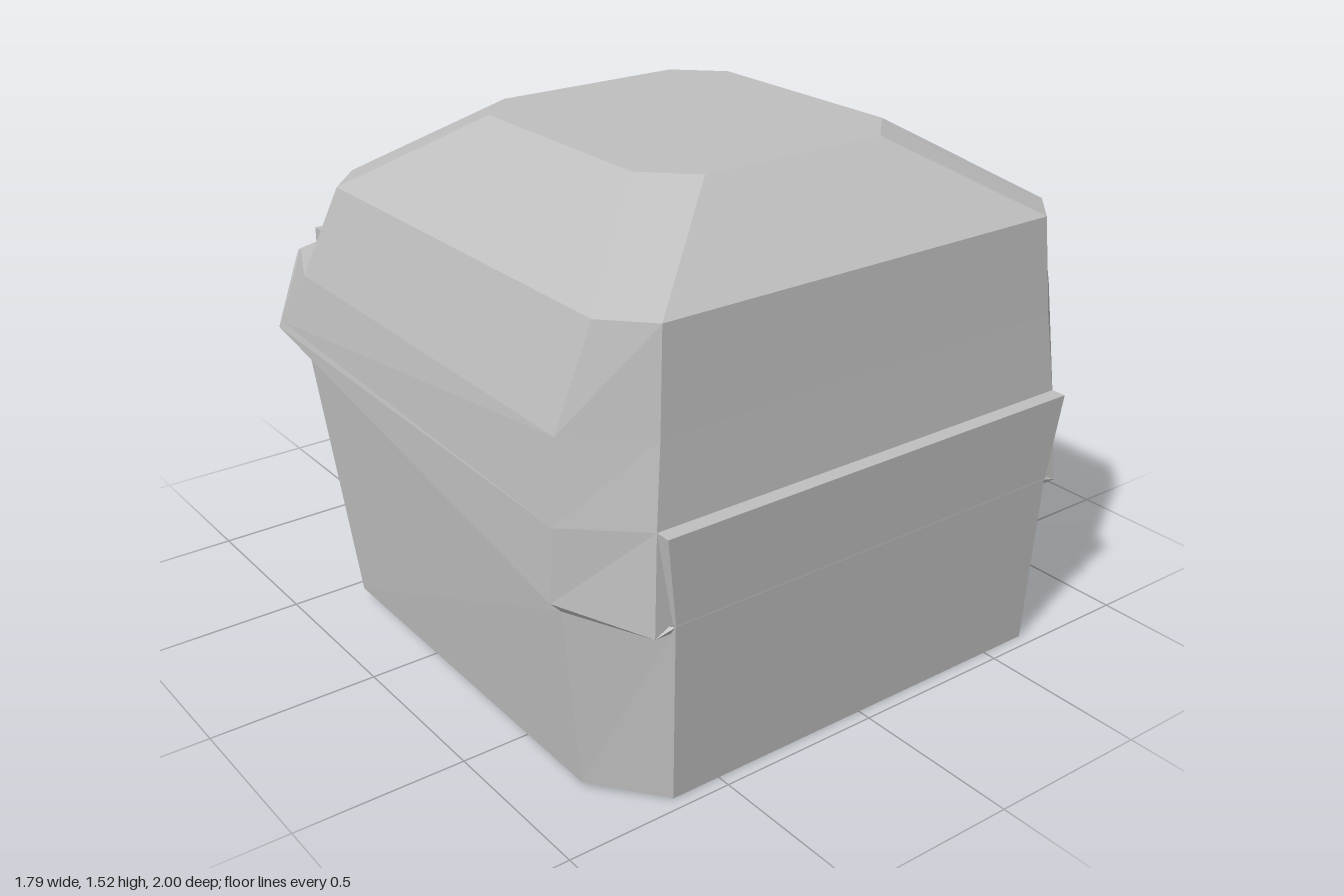
import * as THREE from 'three';
import { ConvexGeometry } from 'three/addons/geometries/ConvexGeometry.js';

const grey = new THREE.MeshStandardMaterial({ color: 0xbebebe, flatShading: true, side: THREE.DoubleSide });
grey.name = 'plain grey';

// Eight-sided ring from its four +x corners: front inner, front side, back side, back inner
const ring = (half) => [...half, ...half.map(([x, y, z]) => [-x, y, z]).reverse()];

// The same corners moved inward by the wall thickness
const inset = (half, dy = 0, t = 0.045) =>
  half.map(([x, y, z]) => [x - t, y + dy, z - Math.sign(z) * t]);

// Skin a list of rings; capStart / capEnd close the first and last ring
function loft(halves, capStart, capEnd) {
  const rings = halves.map(ring);
  const pos = [];
  const tri = (...p) => p.forEach((v) => pos.push(...v));
  for (let r = 0; r < rings.length - 1; r++) {
    const a = rings[r], b = rings[r + 1];
    for (let i = 0; i < 8; i++) {
      const j = (i + 1) % 8;
      tri(a[i], a[j], b[j]);
      tri(a[i], b[j], b[i]);
    }
  }
  const cap = (c, flip) => {
    for (let i = 1; i < 7; i++) flip ? tri(c[0], c[i + 1], c[i]) : tri(c[0], c[i], c[i + 1]);
  };
  if (capStart) cap(rings[0], true);
  if (capEnd) cap(rings[rings.length - 1], false);
  const g = new THREE.BufferGeometry();
  g.setAttribute('position', new THREE.Float32BufferAttribute(pos, 3));
  g.computeVertexNormals();
  return g;
}

// Convex block from +x corners, mirrored to both sides
const block = (pts) => new ConvexGeometry(
  pts.flatMap(([x, y, z]) => [new THREE.Vector3(x, y, z), new THREE.Vector3(-x, y, z)]));

export function createModel() {
  const model = new THREE.Group();
  const add = (name, geometry) => {
    const m = new THREE.Mesh(geometry, grey);
    m.name = name;
    model.add(m);
    return m;
  };
  const box = (name, x0, x1, y0, y1, z0, z1) => {
    const m = add(name, new THREE.BoxGeometry(x1 - x0, y1 - y0, z1 - z0));
    m.position.set((x0 + x1) / 2, (y0 + y1) / 2, (z0 + z1) / 2);
    return m;
  };

  // Cross-sections, from the open bottom to the flat top
  const bottom = [[0.65, 0, 0.96], [0.815, 0.02, 0.785], [0.82, 0.045, -0.39], [0.6, 0.21, -0.82]];
  const seam = [[0.665, 0.53, 0.985], [0.865, 0.55, 0.785], [0.87, 0.785, -0.53], [0.61, 0.97, -0.88]];
  const lip = [[0.72, 0.51, 0.975], [0.895, 0.58, 0.78], [0.895, 0.84, -0.68], [0.72, 0.99, -0.885]];
  const waist = [[0.7, 0.79, 0.955], [0.888, 0.79, 0.785], [0.89, 0.86, -0.67], [0.718, 1.0, -0.87]];
  const chest = [[0.675, 1.02, 0.935], [0.865, 1.02, 0.77], [0.86, 1.035, -0.55], [0.69, 1.07, -0.73]];
  const shoulder = [[0.655, 1.305, 0.915], [0.77, 1.305, 0.795], [0.77, 1.305, -0.48], [0.655, 1.305, -0.605]];
  const top = [[0.3, 1.525, 0.62], [0.43, 1.525, 0.49], [0.43, 1.525, -0.19], [0.3, 1.525, -0.315]];

  // Hollow shells: inner wall downward, then outer wall upward
  add('lowerShell', loft([inset(seam), inset(bottom), bottom, seam]));
  add('lid', loft([seam, lip, waist, chest, shoulder, top], false, true));
  add('lidLining', loft([inset(top, -0.04), inset(shoulder, -0.02), inset(chest), inset(seam)], true));

  // Raised band across the front
  add('frontBand', block([
    [0.665, 0.535, 0.987], [0.7, 0.79, 1.0], [0.7, 0.79, 0.95], [0.665, 0.535, 0.95],
  ]));

  // Slanted back wall and the framed panel on it
  add('backBulge', block([
    [0.6, 0.21, -0.815], [0.6, 0.52, -0.925], [0.6, 0.97, -0.925], [0.6, 0.97, -0.86],
  ]));
  box('backPanel', -0.55, 0.55, 0.6, 0.95, -0.945, -0.9);
  box('frameTop', -0.6, 0.6, 0.95, 1.0, -0.975, -0.885);
  box('frameBottom', -0.6, 0.6, 0.53, 0.59, -0.96, -0.88);
  for (const s of [-1, 1]) {
    const side = (name, a, b, ...rest) => box(name, Math.min(s * a, s * b), Math.max(s * a, s * b), ...rest);
    side('framePost', 0.575, 0.615, 0.525, 1.02, -0.972, -0.9);
    side('upperClip', 0.51, 0.62, 0.865, 0.915, -1.0, -0.93);
    side('lowerClip', 0.51, 0.62, 0.575, 0.63, -1.0, -0.93);

    // Small block on each rear corner face
    const tab = add('cornerTab', new THREE.BoxGeometry(0.175, 0.085, 0.03));
    tab.position.set(s * 0.728, 0.79, -0.735);
    tab.rotation.set(0, -s * 0.927, -s * 0.3);
  }
  box('panelStrip', 0.41, 0.5, 0.62, 0.93, -0.953, -0.94);

  // Narrow ridge low on the back
  const ridge = add('backRidge', new THREE.BoxGeometry(1.0, 0.04, 0.02));
  ridge.position.set(0, 0.275, -0.843);
  ridge.rotation.x = 0.33;

  return model;
}
